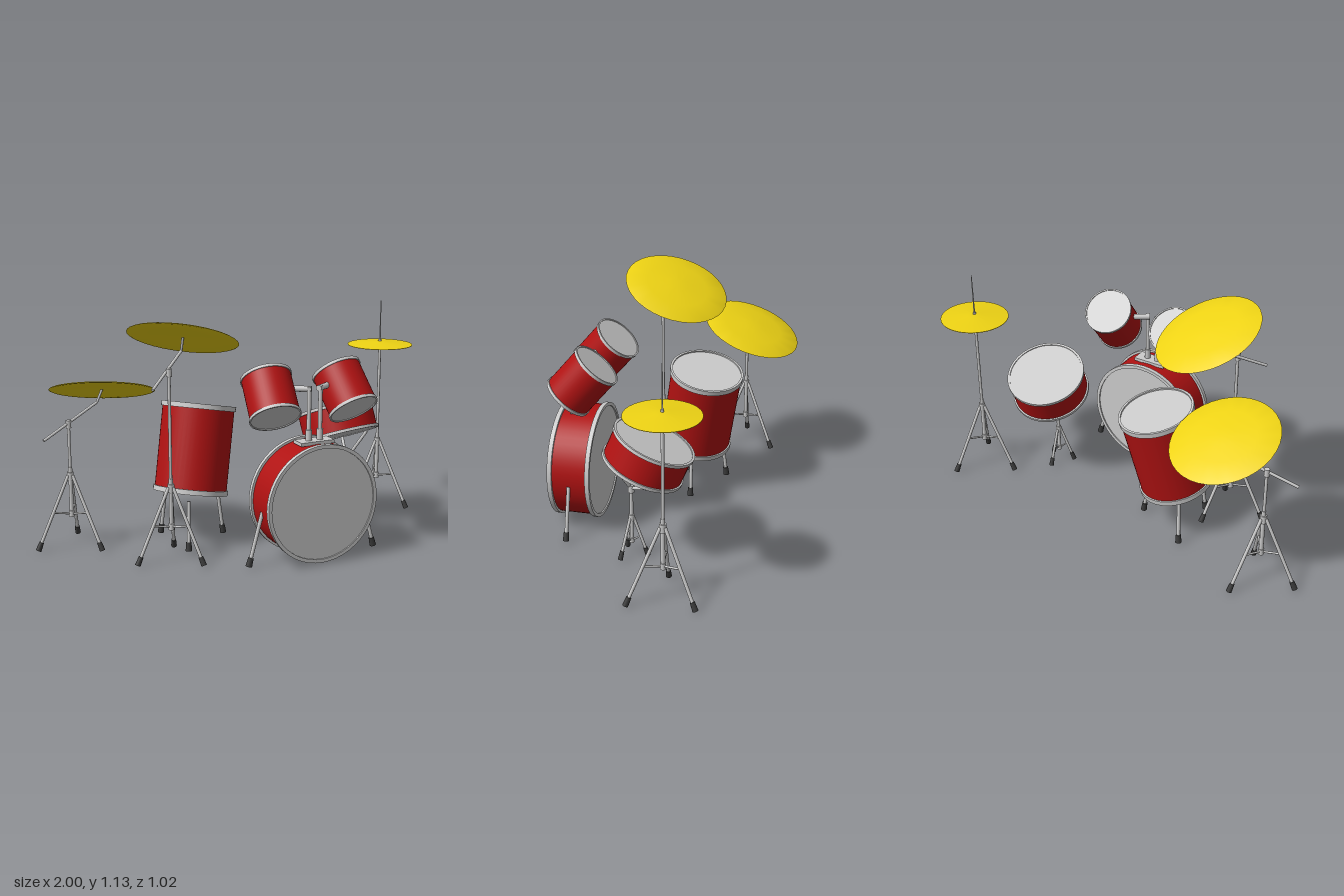
import * as THREE from 'three';
import { toCreasedNormals } from 'three/addons/utils/BufferGeometryUtils.js';

const V = (x, y, z) => new THREE.Vector3(x, y, z);
const UP = V(0, 1, 0);
const mat = (color) => new THREE.MeshStandardMaterial({ color });
const metal = mat(0xcccccc);
const red = mat(0xb01212);
const gold = mat(0xeed314);
const rubber = mat(0x3a3a3a);

function add(parent, name, geometry, material, pos = V(0, 0, 0)) {
  const mesh = new THREE.Mesh(geometry, material);
  mesh.name = name;
  mesh.position.copy(pos);
  parent.add(mesh);
  return mesh;
}

function makeGroup(parent, name, pos = V(0, 0, 0), axis = UP) {
  const g = new THREE.Group();
  g.name = name;
  g.position.copy(pos);
  g.quaternion.setFromUnitVectors(UP, axis.clone().normalize());
  parent.add(g);
  return g;
}

// Round bar between two points
function rod(parent, name, a, b, r, material = metal, rEnd = r) {
  const dir = b.clone().sub(a);
  const mesh = add(parent, name, new THREE.CylinderGeometry(rEnd, r, dir.length(), 12), material,
    a.clone().add(b).multiplyScalar(0.5));
  mesh.quaternion.setFromUnitVectors(UP, dir.normalize());
  return mesh;
}

function lathe(points, segments) {
  const profile = points.map(([x, y]) => new THREE.Vector2(x, y));
  return toCreasedNormals(new THREE.LatheGeometry(profile, segments), 0.6);
}

// Leg with a rubber tip at its lower end
function leg(parent, a, b, r) {
  const tip = b.clone().lerp(a, 0.042 / a.distanceTo(b));
  rod(parent, 'leg', a, tip, r);
  rod(parent, 'rubberFoot', tip, b, r * 1.4, rubber, r * 1.7);
}

// Shell, two hoops and two recessed heads around a local y axis
function drum(parent, name, center, axis, r, length, hoop) {
  const g = makeGroup(parent, name, center, axis);
  const inner = r * 0.94;
  add(g, 'shell', new THREE.CylinderGeometry(r * 0.96, r * 0.96, length - hoop, 48, 1, true), red);
  for (const s of [-1, 1]) {
    const y = s * (length - hoop) / 2, h = hoop / 2;
    add(g, 'hoop', lathe([[inner, -h], [r, -h], [r, h], [inner, h], [inner, -h]], 48), metal, V(0, y, 0));
    add(g, 'head', new THREE.CylinderGeometry(inner, inner, hoop * 0.4, 48), metal, V(0, y, 0));
  }
  return g;
}

function cymbal(parent, name, center, axis, r) {
  const g = makeGroup(parent, name, center, axis);
  add(g, 'cymbalDisc', lathe([[0, -0.004], [r * 0.6, -0.006], [r * 0.97, -0.011], [r, -0.008], [r * 0.97, -0.004],
    [r * 0.6, 0.011], [r * 0.2, 0.019], [0, 0.022]], 36), gold);
  return g;
}

// Tripod with braces; the pole rises to the given height
function tripod(parent, name, x, z, height) {
  const g = makeGroup(parent, name, V(x, 0, z));
  rod(g, 'lowerTube', V(0, 0.155, 0), V(0, 0.4, 0), 0.01);
  rod(g, 'pole', V(0, 0.38, 0), V(0, height, 0), 0.0075);
  rod(g, 'upperCollar', V(0, 0.335, 0), V(0, 0.375, 0), 0.016);
  rod(g, 'lowerCollar', V(0, 0.155, 0), V(0, 0.185, 0), 0.014);
  for (const deg of [55, 175, 295]) {
    const a = deg * Math.PI / 180;
    const at = (r, y) => V(r * Math.cos(a), y, r * Math.sin(a));
    leg(g, at(0.012, 0.36), at(0.175, 0.012), 0.008);
    rod(g, 'brace', at(0.01, 0.17), at(0.094, 0.188), 0.005);
  }
  return g;
}

// Tilting boom on a tripod, carrying one cymbal
function boomCymbal(parent, name, x, z, height, from, to, center, axis, r) {
  const g = makeGroup(parent, name);
  tripod(g, 'tripod', x, z, height);
  rod(g, 'boomClamp', V(x, height - 0.025, z), V(x, height + 0.012, z), 0.013);
  rod(g, 'boom', from, to, 0.007);
  rod(g, 'cymbalPost', to, center, 0.006);
  cymbal(g, 'cymbal', center, axis, r);
}

export function createModel() {
  const kit = new THREE.Group();
  kit.name = 'drumKit';
  const cx = 0.146;

  // Bass drum, its spurs and the tom mount
  drum(kit, 'bassDrum', V(cx, 0.294, 0.411), V(0, 0, 1), 0.28, 0.204, 0.021);
  add(kit, 'mountPlate', new THREE.BoxGeometry(0.17, 0.016, 0.075), metal, V(cx, 0.567, 0.412));
  for (const s of [-1, 1]) {
    const p = (dx, y, z) => V(cx + s * dx, y, z);
    leg(kit, p(0.262, 0.265, 0.413), p(0.33, 0.015, 0.413), 0.009);
    rod(kit, 'tomPostSleeve', p(0.029, 0.56, 0.413), p(0.029, 0.625, 0.413), 0.015);
    rod(kit, 'tomPost', p(0.029, 0.6, 0.413), p(0.029, 0.825, 0.413), 0.01);
    rod(kit, 'tomArm', p(0.018, 0.813, 0.415), p(0.1, 0.813, 0.362), 0.014);
    drum(kit, s < 0 ? 'rightTom' : 'leftTom', p(0.192, 0.779, 0.35), V(-s * 0.09, 0.76, -0.65), 0.119, 0.217, 0.014);
  }

  // Floor tom on three legs
  const floor = V(-0.235, 0.457, -0.086);
  drum(kit, 'floorTom', floor, V(0.08, 0.415, -0.071), 0.181, 0.43, 0.024);
  for (const deg of [-4, 116, 236]) {
    const a = deg * Math.PI / 180;
    const at = (r, y) => V(-0.275 + r * Math.cos(a), y, -0.05 + r * Math.sin(a));
    leg(kit, at(0.145, 0.25), at(0.178, 0.015), 0.009);
  }

  // Snare drum on a basket stand
  drum(kit, 'snareDrum', V(0.508, 0.53, 0), V(-0.01, 0.135, -0.057), 0.194, 0.147, 0.015);
  const stand = makeGroup(kit, 'snareStand', V(0.516, 0, 0.08));
  rod(stand, 'post', V(0, 0.1, 0), V(0, 0.36, 0), 0.009);
  rod(stand, 'postEnd', V(0, 0.075, 0), V(0, 0.1, 0), 0.011);
  rod(stand, 'hub', V(0, 0.335, 0), V(0, 0.37, 0), 0.015);
  rod(stand, 'legCollar', V(0, 0.19, 0), V(0, 0.22, 0), 0.014);
  for (const [x, y, z] of [[0.07, 0.505, 0.07], [-0.14, 0.425, -0.11], [0.08, 0.41, -0.18]])
    rod(stand, 'basketArm', V(0, 0.355, 0), V(x, y, z), 0.008);
  for (const deg of [30, 150, 270]) {
    const a = deg * Math.PI / 180;
    const at = (r, y) => V(r * Math.cos(a), y, r * Math.sin(a));
    leg(stand, at(0.01, 0.205), at(0.077, 0.015), 0.007);
    rod(stand, 'brace', at(0.008, 0.09), at(0.042, 0.115), 0.004);
  }

  // Hi-hat: two facing cymbals on a straight stand
  const hat = makeGroup(kit, 'hiHat');
  tripod(hat, 'tripod', 0.834, -0.143, 0.9);
  rod(hat, 'pullRod', V(0.834, 0.88, -0.143), V(0.834, 1.1, -0.143), 0.004, metal, 0.002);
  const half = [[0.166, 0.001], [0.1, 0.008], [0.035, 0.014], [0, 0.018]];
  const disc = lathe([...half.map(([x, y]) => [x, -y]).reverse(), ...half], 36);
  add(hat, 'hiHatCymbals', disc, gold, V(0.834, 0.873, -0.143));

  // Boom cymbals
  boomCymbal(kit, 'crashCymbal', -0.46, 0.163, 0.9,
    V(-0.57, 0.84, 0.245), V(-0.353, 0.965, 0.05), V(-0.35, 1.032, 0.065), V(0.27, 0.91, -0.32), 0.258);
  boomCymbal(kit, 'rideCymbal', -0.818, -0.22, 0.615,
    V(-0.952, 0.553, -0.175), V(-0.658, 0.687, -0.275), V(-0.63, 0.75, -0.274), V(0.14, 0.93, -0.33), 0.252);
  return kit;
}
